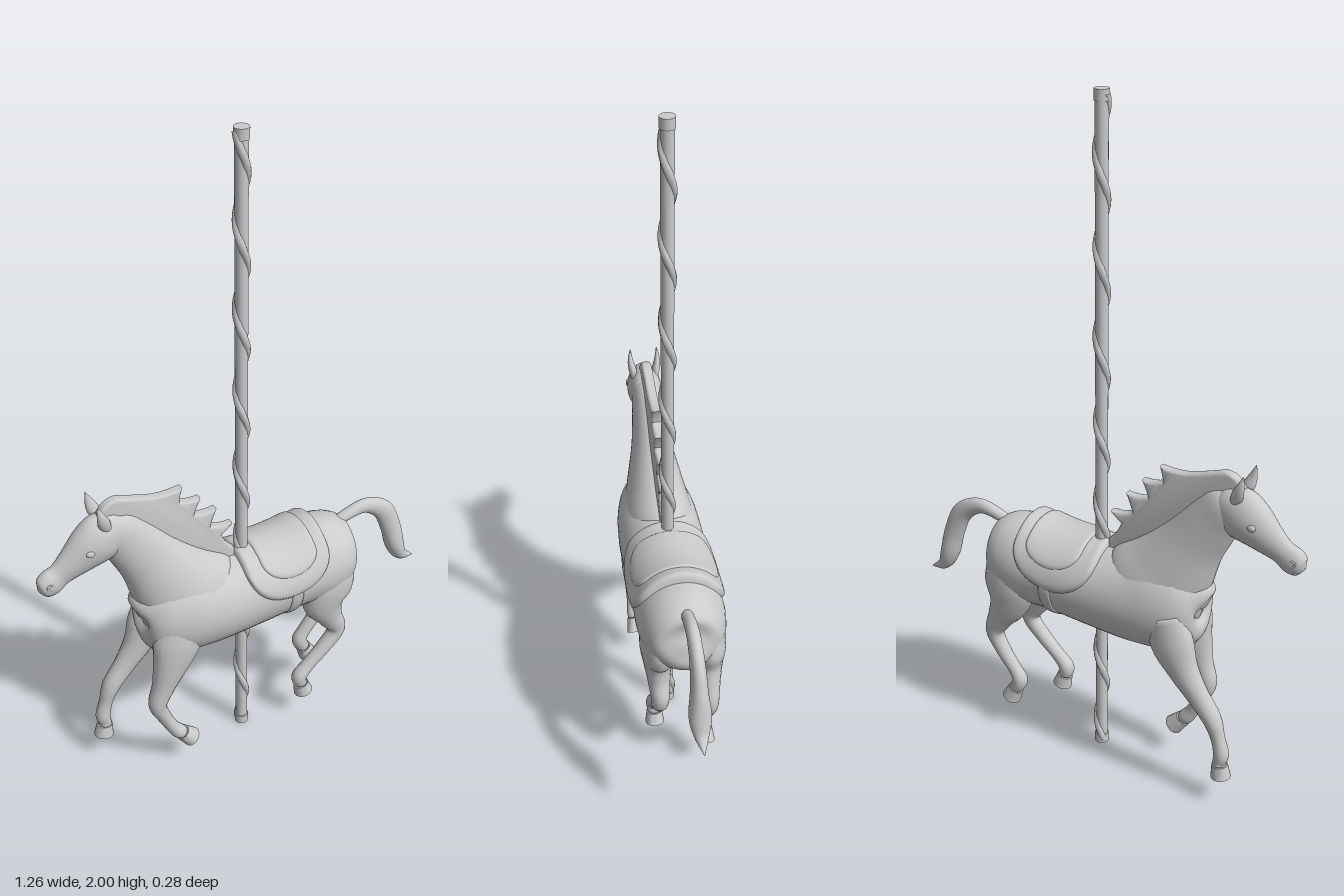
import * as THREE from 'three';
import { toCreasedNormals } from 'three/addons/utils/BufferGeometryUtils.js';
import { ParametricGeometry } from 'three/addons/geometries/ParametricGeometry.js';

const grey = new THREE.MeshStandardMaterial({ color: 0xcccccc });
const greyDouble = new THREE.MeshStandardMaterial({ color: 0xcccccc, side: THREE.DoubleSide });

// Smooth elliptical loft; each station is [x, y, z, radius in the side plane, radius along z]
function loft(stations, steps = 40, sides = 28) {
  const curve = (pick) => new THREE.CatmullRomCurve3(stations.map(pick), false, 'catmullrom', 0.5);
  const path = curve((s) => new THREE.Vector3(s[0], s[1], s[2]));
  const radii = curve((s) => new THREE.Vector3(s[3], s[4], 0));
  const pos = [], idx = [];
  for (let i = 0; i <= steps; i++) {
    const p = path.getPoint(i / steps), r = radii.getPoint(i / steps), t = path.getTangent(i / steps);
    const len = Math.hypot(t.x, t.y), nx = -t.y / len, ny = t.x / len;
    for (let j = 0; j < sides; j++) {
      const a = (j / sides) * Math.PI * 2, c = Math.cos(a) * r.x;
      pos.push(p.x + nx * c, p.y + ny * c, p.z + Math.sin(a) * r.y);
      if (i < steps) {
        const k = (j + 1) % sides, A = i * sides + j, B = i * sides + k;
        idx.push(A, B, B + sides, A, B + sides, A + sides);
      }
    }
  }
  const first = pos.length / 3, last = steps * sides;
  pos.push(...stations[0].slice(0, 3), ...stations[stations.length - 1].slice(0, 3));
  for (let j = 0; j < sides; j++) {
    const k = (j + 1) % sides;
    idx.push(first, k, j, first + 1, last + j, last + k);
  }
  const g = new THREE.BufferGeometry();
  g.setAttribute('position', new THREE.Float32BufferAttribute(pos, 3));
  g.setIndex(idx);
  g.computeVertexNormals();
  return g;
}

// Torso profile: x, top, bottom, half width
const torso = [
  [0.37, 0.6, 0.56, 0.02], [0.355, 0.665, 0.49, 0.08], [0.32, 0.705, 0.455, 0.112],
  [0.25, 0.72, 0.445, 0.128], [0.15, 0.712, 0.448, 0.128], [0.0, 0.705, 0.435, 0.128],
  [-0.12, 0.715, 0.425, 0.128], [-0.22, 0.74, 0.43, 0.12], [-0.29, 0.735, 0.47, 0.1],
  [-0.33, 0.69, 0.53, 0.066], [-0.345, 0.62, 0.59, 0.015],
];

// Point on the torso skin at x and angle a from the top, raised by d
function onTorso(x, a, d, target) {
  let i = 0;
  while (i < torso.length - 2 && torso[i + 1][0] > x) i++;
  const [p, q] = [torso[i], torso[i + 1]], f = (x - p[0]) / (q[0] - p[0]);
  const [top, bottom, w] = [1, 2, 3].map((k) => p[k] + (q[k] - p[k]) * f);
  const cy = (top + bottom) / 2, ry = (top - bottom) / 2;
  if (target) target.set(x, cy + Math.cos(a) * (ry + d), Math.sin(a) * (w + d));
  return { cy, ry };
}

// Padded saddle layer with a rounded lower outline
function saddleLayer(xc, half, low, thick, base) {
  return new ParametricGeometry((u, v, out) => {
    const s = -Math.cos(u * Math.PI), x = xc + s * half, k = v * 2 - 1;
    const yl = 0.69 - (0.69 - low) * Math.sqrt(Math.max(0, 1 - s * s));
    const { cy, ry } = onTorso(x, 0, 0);
    const aMax = Math.acos(Math.max(-1, Math.min(1, (yl - cy) / ry)));
    const edge = (1 - Math.pow(Math.abs(k), 24)) * (1 - Math.pow(Math.abs(s), 24));
    onTorso(x, -k * aMax, base + thick * edge, out);
    // raised pommel and cantle
    const up = Math.max(0, Math.cos(k * aMax));
    out.y += up * edge * (0.02 * Math.max(0, (x - 0.1) / 0.14) ** 2 + 0.008 * Math.max(0, (0.1 - x) / 0.13) ** 2);
  }, 40, 48);
}

export function createModel() {
  const model = new THREE.Group();
  const add = (name, geometry, material = grey, parent = model) => {
    const m = new THREE.Mesh(geometry, material);
    m.name = name;
    parent.add(m);
    return m;
  };

  // Pole with a spiral ridge
  const pole = new THREE.Group();
  pole.name = 'pole';
  model.add(pole);
  add('poleCore', new THREE.CylinderGeometry(0.018, 0.018, 2, 20).translate(0, 1, 0), grey, pole);
  const helix = [];
  for (let i = 0; i <= 128; i++) {
    const y = 0.01 + (i / 128) * 1.98, a = ((y - 1.86) / 0.25) * Math.PI * 2;
    helix.push(new THREE.Vector3(Math.cos(a) * 0.014, y, Math.sin(a) * 0.014));
  }
  add('poleSpiral', new THREE.TubeGeometry(new THREE.CatmullRomCurve3(helix), 300, 0.011, 8), grey, pole);
  for (const y of [0.015, 1.985]) add('poleCollar', new THREE.CylinderGeometry(0.021, 0.021, 0.03, 20).translate(0, y, 0), grey, pole);

  // Body, neck and head
  add('torso', loft(torso.map(([x, t, b, w]) => [x, (t + b) / 2, 0, (t - b) / 2, w]), 60, 40));
  add('neck', loft([
    [-0.11, 0.54, 0, 0.13, 0.09], [-0.175, 0.61, 0, 0.16, 0.108], [-0.24, 0.7, 0, 0.125, 0.086],
    [-0.3, 0.795, 0, 0.092, 0.062], [-0.355, 0.875, 0, 0.077, 0.05], [-0.4, 0.935, 0, 0.062, 0.043], [-0.425, 0.97, 0, 0.025, 0.02],
  ]));
  add('head', loft([
    [-0.36, 0.955, 0, 0.015, 0.015], [-0.38, 0.945, 0, 0.052, 0.038], [-0.425, 0.923, 0, 0.075, 0.05], [-0.465, 0.9, 0, 0.07, 0.05],
    [-0.515, 0.866, 0, 0.052, 0.038], [-0.56, 0.836, 0, 0.038, 0.027], [-0.59, 0.818, 0, 0.041, 0.029],
    [-0.615, 0.805, 0, 0.032, 0.024], [-0.627, 0.8, 0, 0.006, 0.006],
  ]));
  for (const s of [-1, 1]) {
    add('ear', loft([
      [-0.425, 0.955, s * 0.03, 0.012, 0.01], [-0.437, 0.985, s * 0.036, 0.018, 0.012],
      [-0.447, 1.015, s * 0.041, 0.012, 0.008], [-0.455, 1.048, s * 0.04, 0.001, 0.001],
    ], 12, 12));
    add('eye', new THREE.SphereGeometry(0.013, 16, 12).scale(1, 0.8, 0.6).translate(-0.485, 0.905, s * 0.044));
    add('nostril', new THREE.TorusGeometry(0.008, 0.003, 8, 14).translate(-0.6, 0.82, s * 0.026));
  }

  // Mane: thin crest with swept locks
  const mane = new THREE.Shape();
  mane.moveTo(-0.45, 0.97);
  mane.quadraticCurveTo(-0.44, 1.03, -0.385, 1.033);
  mane.quadraticCurveTo(-0.32, 1.01, -0.28, 1.0);
  const locks = [[-0.19, 1.0], [-0.2, 0.955], [-0.135, 0.945], [-0.155, 0.895], [-0.085, 0.89],
    [-0.105, 0.835], [-0.035, 0.82], [-0.07, 0.79], [-0.03, 0.73], [-0.02, 0.7]];
  let prev = [-0.28, 1.0];
  for (const p of locks) {
    mane.quadraticCurveTo((prev[0] + p[0]) / 2 - 0.006, (prev[1] + p[1]) / 2 - 0.008, ...p);
    prev = p;
  }
  mane.lineTo(-0.12, 0.68);
  mane.lineTo(-0.27, 0.82);
  mane.lineTo(-0.39, 0.94);
  const maneGeo = new THREE.ExtrudeGeometry(mane, {
    depth: 0.014, bevelThickness: 0.008, bevelSize: 0.008, bevelOffset: -0.008, bevelSegments: 3, curveSegments: 6,
  }).translate(0, 0, -0.007);
  add('mane', toCreasedNormals(maneGeo, 0.7));

  // Tail
  add('tail', loft([
    [0.3, 0.67, 0, 0.016, 0.016], [0.36, 0.695, 0, 0.018, 0.018], [0.43, 0.706, 0, 0.024, 0.019], [0.495, 0.667, 0, 0.032, 0.021],
    [0.53, 0.59, 0, 0.033, 0.025], [0.55, 0.515, 0, 0.03, 0.032], [0.575, 0.465, 0, 0.02, 0.022], [0.625, 0.438, 0, 0.001, 0.001],
  ]));

  // Legs: [x, y, radius, optional z radius]; the last two points make the hoof
  const legs = {
    leftForeleg: [0.07, [[-0.24, 0.58, 0.07, 0.04], [-0.25, 0.5, 0.078, 0.045], [-0.275, 0.42, 0.056, 0.04], [-0.3, 0.35, 0.037, 0.032], [-0.322, 0.285, 0.028],
      [-0.305, 0.23, 0.022], [-0.278, 0.172, 0.02], [-0.258, 0.142, 0.023], [-0.245, 0.128, 0.021], [-0.213, 0.092, 0.027]]],
    rightForeleg: [-0.075, [[-0.25, 0.58, 0.06, 0.04], [-0.275, 0.49, 0.068, 0.045], [-0.315, 0.41, 0.047, 0.038], [-0.36, 0.345, 0.035, 0.03], [-0.408, 0.28, 0.028],
      [-0.43, 0.22, 0.021], [-0.442, 0.17, 0.023], [-0.438, 0.142, 0.02], [-0.439, 0.132, 0.021], [-0.444, 0.09, 0.027]]],
    leftHindLeg: [0.07, [[0.27, 0.61, 0.07, 0.045], [0.258, 0.52, 0.092, 0.053], [0.25, 0.45, 0.07, 0.045], [0.272, 0.385, 0.042, 0.034], [0.3, 0.318, 0.029, 0.026],
      [0.255, 0.258, 0.023], [0.2, 0.205, 0.021], [0.17, 0.17, 0.024], [0.176, 0.14, 0.021], [0.186, 0.102, 0.027]]],
    rightHindLeg: [-0.07, [[0.28, 0.61, 0.07, 0.045], [0.275, 0.52, 0.088, 0.053], [0.285, 0.45, 0.066, 0.045], [0.315, 0.39, 0.043, 0.034], [0.34, 0.328, 0.03, 0.026],
      [0.31, 0.265, 0.023], [0.27, 0.21, 0.021], [0.253, 0.175, 0.024], [0.268, 0.14, 0.021], [0.286, 0.102, 0.027]]],
  };
  for (const [name, [z, pts]] of Object.entries(legs)) {
    const leg = new THREE.Group();
    leg.name = name;
    model.add(leg);
    const st = pts.map(([x, y, r, rz = r]) => [x, y, z, r, rz]);
    const n = st.length;
    add('limb', loft(st.slice(0, n - 1), 40, 20), grey, leg);
    const wide = st.slice(n - 2).map(([x, y, zz, r, w]) => [x, y, zz, r + 0.003, w + 0.002]);
    add('hoof', toCreasedNormals(loft(wide, 4, 20), 0.8), grey, leg);
  }

  // Saddle and girth
  add('saddleFlap', saddleLayer(0.105, 0.137, 0.572, 0.013, 0), greyDouble);
  add('saddleSeat', saddleLayer(0.11, 0.092, 0.635, 0.011, 0.008), greyDouble);
  add('girth', new ParametricGeometry((u, v, out) => {
    onTorso(0.102 + u * 0.04, v * Math.PI * 2, 0.005 * Math.sin(u * Math.PI) ** 0.3, out);
  }, 8, 48), greyDouble);

  return model;
}
